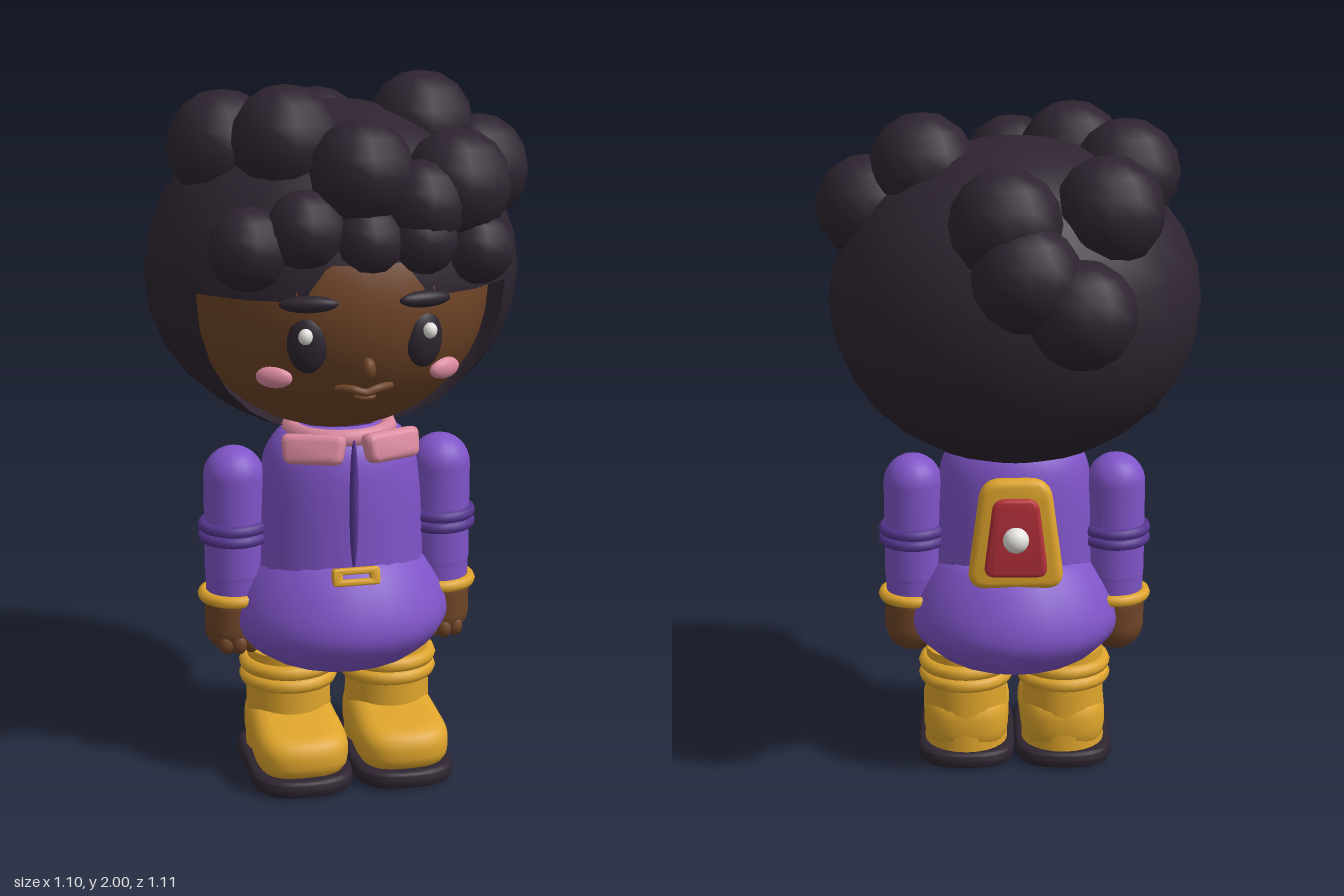
import * as THREE from 'three';
import { mergeVertices, toCreasedNormals } from 'three/addons/utils/BufferGeometryUtils.js';

const mat = (name, color, side = THREE.FrontSide) => {
  const m = new THREE.MeshStandardMaterial({ color, side });
  m.name = name;
  return m;
};

export function createModel() {
  const dark = mat('dark hair', 0x2e2430, THREE.DoubleSide);
  const skin = mat('brown skin', 0x6e4427);
  const purple = mat('purple cloth', 0x7f54c8, THREE.DoubleSide);
  const plum = mat('dark purple trim', 0x553690);
  const gold = mat('gold', 0xdfa52c);
  const pink = mat('pink', 0xdb8a9f);
  const red = mat('red', 0xb5303a);
  const white = mat('white', 0xe6e4e0);

  const model = new THREE.Group();
  const body = new THREE.Group();
  body.name = 'body';
  body.position.x = -0.018;
  model.add(body);

  const add = (name, geo, material, x = 0, y = 0, z = 0, parent = body) => {
    const m = new THREE.Mesh(geo, material);
    m.name = name;
    m.position.set(x, y, z);
    parent.add(m);
    return m;
  };
  const ball = (rx, ry, rz, w = 20, h = 14) => new THREE.SphereGeometry(1, w, h).scale(rx, ry, rz);
  const ring = (r, tube) => new THREE.TorusGeometry(r, tube, 8, 24).rotateX(Math.PI / 2);

  // Outline with rounded corners; the top may be narrower than the bottom
  const rounded = (wBottom, wTop, h, r) => {
    const pts = [[-wBottom / 2, -h / 2], [wBottom / 2, -h / 2], [wTop / 2, h / 2], [-wTop / 2, h / 2]]
      .map(([x, y]) => new THREE.Vector2(x, y));
    const s = new THREE.Shape();
    pts.forEach((p, i) => {
      const prev = pts[(i + 3) % 4], next = pts[(i + 1) % 4];
      const a = p.clone().add(prev.clone().sub(p).setLength(r));
      const b = p.clone().add(next.clone().sub(p).setLength(r));
      if (i) s.lineTo(a.x, a.y); else s.moveTo(a.x, a.y);
      s.quadraticCurveTo(p.x, p.y, b.x, b.y);
    });
    s.closePath();
    return s;
  };
  // Bevelled plate, thickness t, from z = 0 to z = t
  const plate = (shape, t, bevel) => {
    const g = new THREE.ExtrudeGeometry(shape, {
      depth: t - 2 * bevel, bevelThickness: bevel, bevelSize: bevel,
      bevelOffset: -bevel, bevelSegments: 4, curveSegments: 6,
    }).translate(0, 0, bevel);
    g.deleteAttribute('uv');
    g.deleteAttribute('normal');
    return toCreasedNormals(mergeVertices(g), 0.7);
  };

  // Head and hair shell with an opening for the face
  add('head', ball(0.44, 0.41, 0.465, 28, 20), skin, 0, 1.42, 0.06);
  const shell = (phi0, phiLen, seg, th0) =>
    new THREE.SphereGeometry(1, seg, 7, phi0, phiLen, th0, Math.PI / 2).scale(0.534, 0.47, 0.47);
  const deg = Math.PI / 180;
  add('hairTop', shell(0, Math.PI * 2, 20, 0), dark, 0, 1.46, 0.04);
  add('hairBack', shell(144 * deg, 252 * deg, 14, Math.PI / 2), dark, 0, 1.46, 0.04);

  // Curls: x, y, z, radius
  const curls = [
    [-0.19, 1.53, -0.41, 0.15], [-0.04, 1.63, -0.405, 0.15], [0.015, 1.76, -0.33, 0.155],
    [-0.27, 1.77, -0.21, 0.155], [-0.335, 1.82, 0.09, 0.155], [-0.185, 1.85, 0.23, 0.153],
    [0.243, 1.85, 0.027, 0.153], [0.4, 1.73, 0.06, 0.15], [0.26, 1.74, 0.36, 0.15],
    [-0.015, 1.79, 0.41, 0.142], [0.15, 1.7, 0.42, 0.12], [-0.315, 1.59, 0.39, 0.115],
    [-0.17, 1.64, 0.42, 0.11], [-0.005, 1.61, 0.44, 0.1], [0.14, 1.61, 0.43, 0.105],
    [0.31, 1.57, 0.4, 0.1],
  ];
  curls.forEach(([x, y, z, r]) => add('curl', ball(r, r, r, 12, 8), dark, x, y, z, model));

  // Face
  for (const s of [-1, 1]) {
    add('eye', ball(0.055, 0.08, 0.03), dark, s * 0.16, 1.345, 0.475).rotation.y = s * 0.3;
    add('eyeHighlight', ball(0.02, 0.022, 0.018, 12, 8), white, s * 0.17, 1.372, 0.503);
    const brow = add('eyebrow', ball(0.08, 0.023, 0.025), dark, s * 0.158, 1.456, 0.487);
    brow.rotation.set(0, s * 0.3, s * -0.04);
    add('cheek', ball(0.052, 0.03, 0.022), pink, s * 0.237, 1.24, 0.405).rotation.y = s * 0.5;
  }
  add('nose', ball(0.021, 0.032, 0.025, 12, 8), skin, 0, 1.275, 0.505);
  const lip = new THREE.CatmullRomCurve3([[-0.075, 1.212, 0.45], [-0.035, 1.212, 0.475],
    [0, 1.203, 0.48], [0.035, 1.212, 0.475], [0.075, 1.212, 0.45]].map((p) => new THREE.Vector3(...p)));
  add('upperLip', new THREE.TubeGeometry(lip, 16, 0.012, 8), skin);
  add('lowerLip', ball(0.032, 0.012, 0.02, 12, 8), skin, 0, 1.188, 0.465);

  // Torso and skirt
  const lathe = (pts, seg, sx, sz) => new THREE.LatheGeometry(
    new THREE.SplineCurve(pts.map((p) => new THREE.Vector2(...p))).getPoints(24), seg).scale(sx, 1, sz);
  add('torso', lathe([[0.245, 0.55], [0.24, 0.7], [0.232, 0.85], [0.215, 0.95], [0.175, 1.01], [0.12, 1.04]],
    28, 1, 0.8), purple, 0, 0, 0.15);
  add('skirt', lathe([[0.001, 0.31], [0.12, 0.315], [0.22, 0.345], [0.295, 0.41], [0.318, 0.475],
    [0.29, 0.56], [0.235, 0.64], [0.18, 0.67], [0.001, 0.68]], 20, 1, 0.96), purple, 0, 0, 0.135);
  add('neckBand', ring(0.14, 0.025), pink, 0, 1.02, 0.15);
  add('zipper', ball(0.013, 0.19, 0.018, 10, 14), plum, 0, 0.84, 0.34);

  // Collar flaps
  for (const s of [-1, 1]) {
    const flap = add('collarFlap', plate(rounded(0.165, 0.185, 0.085, 0.025), 0.055, 0.02), pink,
      s * 0.1, 0.995, 0.295);
    flap.rotation.set(-0.3, s * 0.4, s * 0.1);
  }

  // Buckle
  const frame = rounded(0.135, 0.135, 0.05, 0.01);
  frame.holes.push(new THREE.Path(rounded(0.08, 0.08, 0.014, 0.003).getPoints(3).reverse()));
  add('buckle', plate(frame, 0.035, 0.006), gold, 0, 0.634, 0.35).rotation.x = -0.25;

  // Back badge
  const badge = new THREE.Group();
  badge.name = 'backBadge';
  badge.position.set(0, 0.79, -0.045);
  badge.rotation.set(0, Math.PI, 0);
  body.add(badge);
  add('badgeFrame', plate(rounded(0.29, 0.2, 0.335, 0.06), 0.055, 0.022), gold, 0, 0, 0, badge);
  add('badgePanel', plate(rounded(0.19, 0.13, 0.24, 0.035), 0.04, 0.012), red, 0, -0.005, 0.03, badge);
  add('badgeStud', ball(0.038, 0.038, 0.035), white, 0, -0.005, 0.075, badge);

  // Arms
  for (const s of [-1, 1]) {
    const arm = new THREE.Group();
    arm.name = s > 0 ? 'leftArm' : 'rightArm';
    arm.position.set(s * 0.303, 0, 0.13);
    body.add(arm);
    add('sleeve', new THREE.CapsuleGeometry(0.087, 0.28, 8, 20), purple, 0, 0.743, 0, arm);
    add('lowerSleeve', new THREE.CylinderGeometry(0.087, 0.083, 0.1, 20), purple, 0, 0.575, 0, arm);
    for (const y of [0.74, 0.708]) add('sleeveRing', ring(0.088, 0.017), plum, 0, y, 0, arm);
    add('cuff', ring(0.09, 0.018), gold, 0, 0.53, 0, arm);
    add('hand', new THREE.CapsuleGeometry(0.083, 0.06, 8, 20), skin, s * 0.006, 0.465, 0, arm).scale.y = 1.02;
    for (const i of [-1, 0, 1])
      add('finger', ball(0.024, 0.032, 0.026, 10, 8), skin, i * 0.036, 0.395, 0.062 - Math.abs(i) * 0.008, arm);
  }

  // Legs and boots
  const upright = (g) => g.rotateX(-Math.PI / 2);
  const bootGeo = () => {
    const g = upright(plate(rounded(0.275, 0.25, 0.42, 0.12), 0.13, 0.05));
    const p = g.attributes.position;
    // The upper slopes down towards the toe
    for (let i = 0; i < p.count; i++) {
      const t = THREE.MathUtils.clamp((0.21 - p.getZ(i)) / 0.42, 0, 1);
      p.setY(i, p.getY(i) * (0.9 + t * 0.45));
    }
    g.deleteAttribute('normal');
    return toCreasedNormals(mergeVertices(g), 0.9);
  };
  for (const s of [-1, 1]) {
    const leg = new THREE.Group();
    leg.name = s > 0 ? 'leftLeg' : 'rightLeg';
    leg.position.set(s * 0.148, 0, 0.13);
    body.add(leg);
    add('bootShaft', new THREE.CylinderGeometry(0.12, 0.126, 0.31, 24), gold, 0, 0.205, 0, leg);
    for (const y of [0.312, 0.272]) add('bootRing', ring(0.122, 0.022), gold, 0, y, 0, leg);
    add('bootFoot', bootGeo(), gold, 0, 0.045, 0.085, leg);
    add('sole', upright(plate(rounded(0.295, 0.295, 0.455, 0.13), 0.05, 0.018)), dark, 0, 0.005, 0.083, leg);
    add('soleInset', new THREE.CylinderGeometry(1, 1, 0.006, 24).scale(0.085, 1, 0.11), gold, 0, 0.003, 0.07, leg);
  }
  return model;
}
